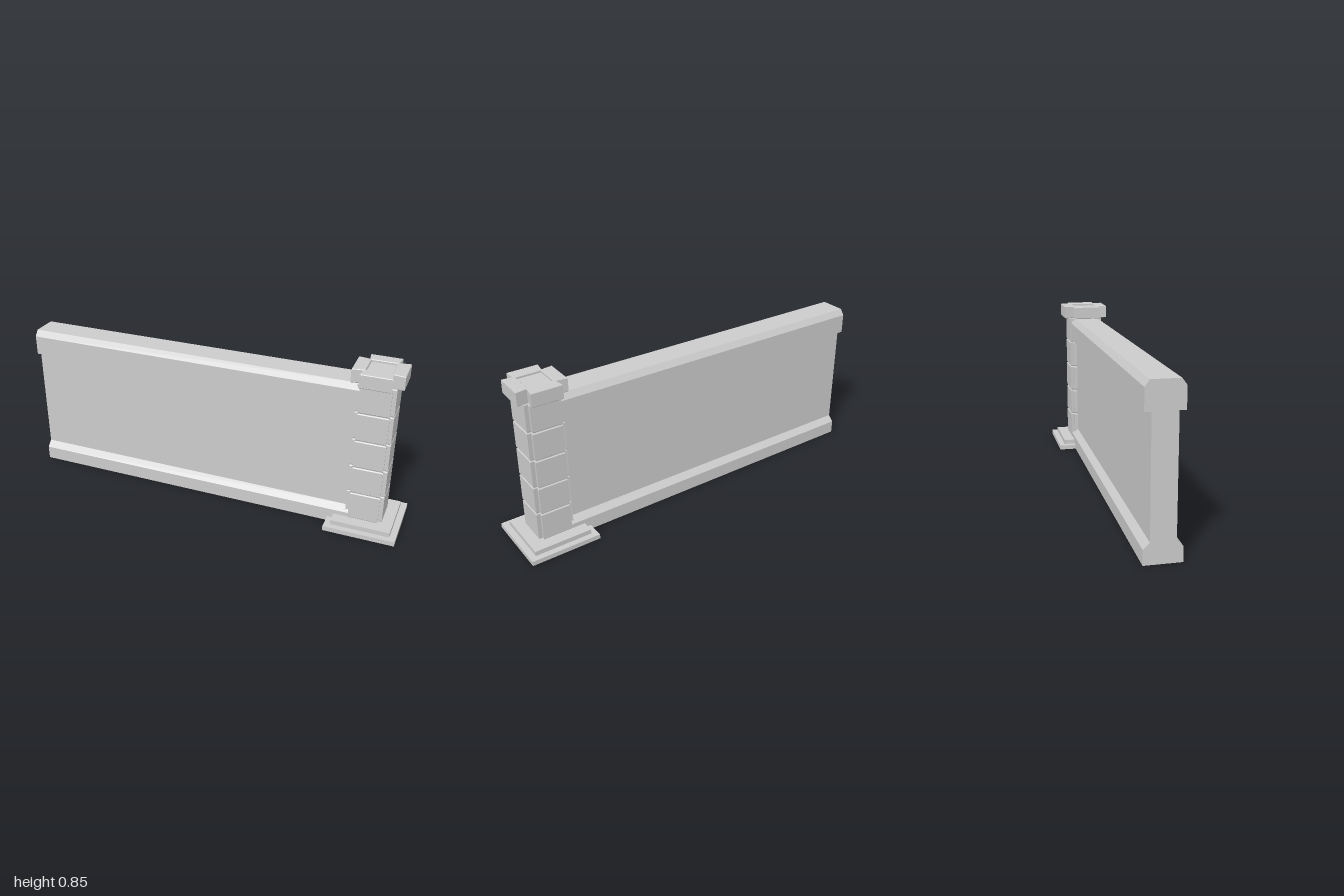
import * as THREE from 'three';

const material = new THREE.MeshStandardMaterial({ color: 0xcccccc, flatShading: true });
const PILLAR_X = 0.82;

// Plus-shaped outline: arm reach r, arm half-width a at the tip, i at the inner corner
function crossShape(r, a, i) {
  const shape = new THREE.Shape();
  const quarter = [[r, -a], [r, a], [i, i]];
  for (let q = 0; q < 4; q++) {
    const c = Math.round(Math.cos(q * Math.PI / 2)), s = Math.round(Math.sin(q * Math.PI / 2));
    quarter.forEach(([x, y], k) => {
      const px = x * c - y * s, py = x * s + y * c;
      if (q === 0 && k === 0) shape.moveTo(px, py);
      else shape.lineTo(px, py);
    });
  }
  shape.closePath();
  return shape;
}

// Upright bevelled slab from y0 to y1
function slab(shape, y0, y1, bevel) {
  const geo = new THREE.ExtrudeGeometry(shape, {
    depth: y1 - y0 - 2 * bevel, bevelEnabled: true, bevelSegments: 1,
    bevelSize: bevel, bevelThickness: bevel, bevelOffset: -bevel,
  });
  return geo.rotateX(-Math.PI / 2).translate(PILLAR_X, y0 + bevel, 0);
}

function box(w, y0, y1) {
  return new THREE.BoxGeometry(w, y1 - y0, w).translate(PILLAR_X, (y0 + y1) / 2, 0);
}

export function createModel() {
  const group = new THREE.Group();
  const add = (name, geo) => {
    const mesh = new THREE.Mesh(geo, material);
    mesh.name = name;
    group.add(mesh);
  };

  // Wall with plinth, recessed panel and chamfered coping, as one mirrored profile
  const half = [[0.087, 0], [0.087, 0.07], [0.057, 0.1], [0.057, 0.65],
    [0.087, 0.65], [0.087, 0.75], [0.065, 0.78]];
  const mirrored = half.map(([z, y]) => [-z, y]).reverse();
  const profile = new THREE.Shape([...half, ...mirrored].map(([z, y]) => new THREE.Vector2(z, y)));
  add('wall', new THREE.ExtrudeGeometry(profile, { depth: 1.75, bevelEnabled: false })
    .rotateY(Math.PI / 2).translate(-1, 0, 0));

  // Stepped base
  add('baseLower', box(0.358, 0, 0.024));
  add('baseUpper', box(0.296, 0.024, 0.048));

  // Pillar: five stacked blocks around a slimmer core
  add('pillarCore', slab(crossShape(0.087, 0.07, 0.068), 0.04, 0.8, 0.001));
  const joints = [0.048, 0.197, 0.343, 0.49, 0.636, 0.781];
  for (let k = 0; k < 5; k++) {
    add('pillarBlock' + (k + 1),
      slab(crossShape(0.093, 0.075, 0.073), joints[k] + 0.002, joints[k + 1] - 0.002, 0.004));
  }

  // Cap with a shallow square recess on top
  const cap = crossShape(0.124, 0.077, 0.069);
  const h = 0.061;
  cap.holes.push(new THREE.Path([[-h, -h], [-h, h], [h, h], [h, -h]]
    .map(([x, y]) => new THREE.Vector2(x, y))));
  add('cap', slab(cap, 0.78, 0.85, 0.003));
  add('capRecess', box(0.13, 0.782, 0.838));

  return group;
}
